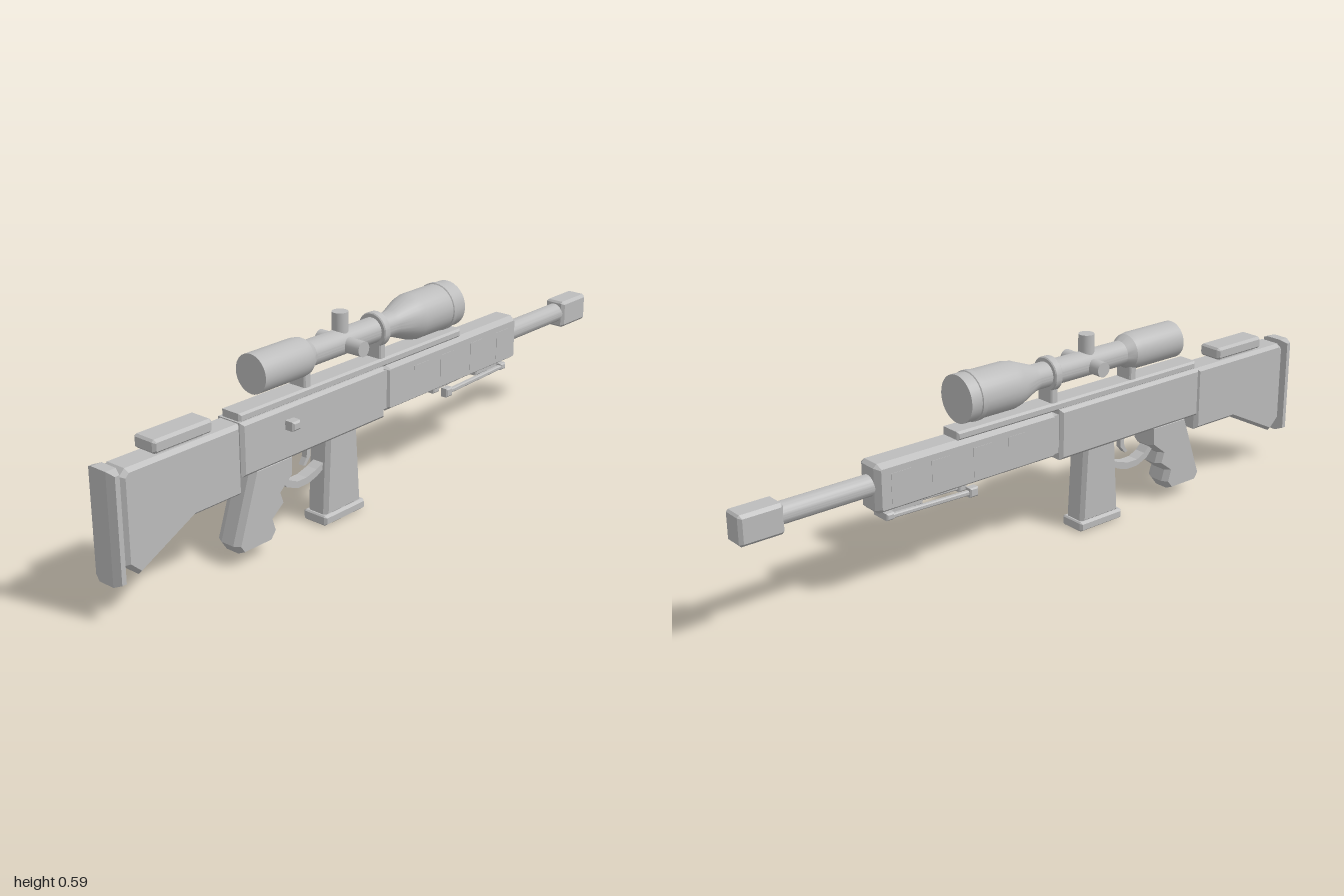
import * as THREE from 'three';
import { toCreasedNormals } from 'three/addons/utils/BufferGeometryUtils.js';

const CX = -0.006; // centre plane of the body
const AXIS = 0.505; // height of the scope axis

export function createModel() {
  const model = new THREE.Group();
  model.name = 'scopedRifle';
  const grey = new THREE.MeshStandardMaterial({ color: 0xbcbcbc });
  grey.name = 'grey';

  function add(name, geo, x = 0, y = 0, z = 0) {
    const mesh = new THREE.Mesh(geo, grey);
    mesh.name = name;
    mesh.position.set(x, y, z);
    model.add(mesh);
    return mesh;
  }

  // Side profile of [z, y] points, extruded across x with chamfered edges
  function slab(name, pts, width, inset = 0.01, side = inset, x = CX) {
    const shape = new THREE.Shape(pts.map(([z, y]) => new THREE.Vector2(z, y)));
    const geo = new THREE.ExtrudeGeometry(shape, {
      depth: width - 2 * side, bevelEnabled: inset > 0, bevelSegments: 1,
      bevelSize: inset, bevelThickness: side, bevelOffset: -inset,
    });
    geo.translate(0, 0, -(width - 2 * side) / 2);
    geo.rotateY(-Math.PI / 2);
    return add(name, geo, x);
  }

  // Chamfered block; cut clips the corners of its side profile
  function block(name, z0, z1, y0, y1, width, inset = 0.008, side = inset, x = CX, cut = 0) {
    const pts = cut
      ? [[z0 + cut, y0], [z1 - cut, y0], [z1, y0 + cut], [z1, y1 - cut],
        [z1 - cut, y1], [z0 + cut, y1], [z0, y1 - cut], [z0, y0 + cut]]
      : [[z0, y0], [z1, y0], [z1, y1], [z0, y1]];
    return slab(name, pts, width, inset, side, x);
  }

  // Turned part along z from [radius, z] points, z ascending
  function turned(name, pts, x = CX, y = AXIS) {
    const geo = new THREE.LatheGeometry(pts.map(([r, z]) => new THREE.Vector2(r, z)), 32);
    geo.rotateX(Math.PI / 2);
    return add(name, toCreasedNormals(geo, 0.35), x, y);
  }

  // Stock, butt plate and cheek rest
  block('buttPlate', 0.968, 1.0, 0.103, 0.408, 0.098, 0.009, 0.023);
  slab('stock', [[0.575, 0.205], [0.74, 0.205], [0.925, 0.113], [0.965, 0.15],
    [0.965, 0.385], [0.948, 0.402], [0.575, 0.402]], 0.086, 0.01, 0.012);
  block('cheekRest', 0.667, 0.86, 0.408, 0.445, 0.08, 0.007, 0.009, CX, 0.006);
  block('cheekRestBase', 0.69, 0.84, 0.395, 0.415, 0.05, 0);

  // Receiver, handguard and top rail
  block('receiver', 0.02, 0.578, 0.253, 0.405, 0.096, 0.009, 0.009);
  block('receiverJoint', 0.0, 0.03, 0.275, 0.39, 0.074, 0);
  block('handguard', -0.603, 0.01, 0.264, 0.403, 0.09, 0.012, 0.018, CX, 0.01);
  block('rail', -0.335, 0.572, 0.4, 0.426, 0.07, 0.006, 0.006);

  // Thin vent panels along both sides of the handguard
  for (const s of [-1, 1]) {
    for (const z of [-0.14, -0.26, -0.4, -0.53]) {
      add('ventPanel', new THREE.BoxGeometry(0.004, 0.085, 0.062), CX + s * 0.044, 0.331, z);
    }
  }

  // Barrel and muzzle brake
  turned('barrel', [[0, -0.9], [0.03, -0.9], [0.03, -0.58], [0, -0.58]], CX, 0.338);
  block('muzzleBrake', -1.0, -0.872, 0.293, 0.378, 0.07, 0.009, 0.009, CX, 0.006);

  // Bolt handle on the left side
  const stem = new THREE.CylinderGeometry(0.009, 0.009, 0.04, 12);
  stem.rotateZ(Math.PI / 2);
  add('boltStem', stem, 0.045, 0.36, 0.415);
  block('boltKnob', 0.4, 0.43, 0.346, 0.372, 0.034, 0.005, 0.005, 0.062);

  // Pistol grip with finger grooves
  slab('pistolGrip', [[0.53, 0.262], [0.6, 0.06], [0.582, 0.033], [0.475, 0.033],
    [0.452, 0.062], [0.463, 0.097], [0.42, 0.13], [0.431, 0.163], [0.388, 0.198],
    [0.385, 0.262]].reverse(), 0.084, 0.009, 0.02);

  // Magazine
  slab('magazine', [[0.112, 0.025], [0.26, 0.025], [0.245, 0.262], [0.125, 0.262]], 0.074, 0.01, 0.012);
  block('magazineFloor', 0.104, 0.268, 0.001, 0.031, 0.087, 0.006, 0.008, CX, 0.004);

  // Trigger guard strap and curved trigger
  slab('triggerGuard', [[0.42, 0.188], [0.39, 0.156], [0.35, 0.14], [0.31, 0.14],
    [0.275, 0.15], [0.24, 0.168], [0.24, 0.187], [0.275, 0.171], [0.315, 0.16],
    [0.35, 0.16], [0.38, 0.173], [0.405, 0.198]].reverse(), 0.036, 0);
  slab('trigger', [[0.32, 0.26], [0.302, 0.232], [0.305, 0.212], [0.318, 0.193],
    [0.308, 0.191], [0.29, 0.212], [0.288, 0.235], [0.294, 0.26]], 0.018, 0);

  // Folded bipod
  block('bipodMount', -0.57, -0.44, 0.243, 0.272, 0.03, 0.004);
  block('bipodPivot', -0.57, -0.545, 0.236, 0.256, 0.066, 0.004);
  for (const s of [-1, 1]) {
    const x = CX + s * 0.025;
    slab('bipodLeg', [[-0.56, 0.239], [-0.29, 0.231], [-0.29, 0.245], [-0.56, 0.252]], 0.014, 0.003, 0.003, x);
    block('bipodFoot', -0.298, -0.27, 0.226, 0.253, 0.026, 0.004, 0.004, x);
  }

  // Telescopic sight: wide objective, slim tube, eyepiece
  turned('scopeBody', [[0, -0.31], [0.068, -0.31], [0.068, -0.275], [0.071, -0.273], [0.071, -0.258],
    [0.068, -0.256], [0.068, -0.14], [0.063, -0.115], [0.04, -0.055], [0.037, -0.04],
    [0.037, 0.285], [0.052, 0.31], [0.055, 0.33], [0.055, 0.495], [0, 0.495]]);
  for (const z of [0.012, 0.315]) {
    const r = z < 0.1 ? 0.05 : 0.045;
    turned('scopeRing', [[0, z - 0.013], [r - 0.003, z - 0.013], [r, z - 0.01],
      [r, z + 0.01], [r - 0.003, z + 0.013], [0, z + 0.013]]);
    block('scopeMount', z - 0.013, z + 0.013, 0.418, 0.475, 0.06, 0.004);
  }

  // Adjustment turrets
  const top = new THREE.CylinderGeometry(0.023, 0.023, 0.085, 24);
  add('topTurret', top, CX, 0.5495, 0.155);
  const cross = new THREE.CylinderGeometry(0.022, 0.022, 0.16, 24);
  cross.rotateZ(Math.PI / 2);
  add('sideTurrets', cross, 0, 0.502, 0.155);

  return model;
}
